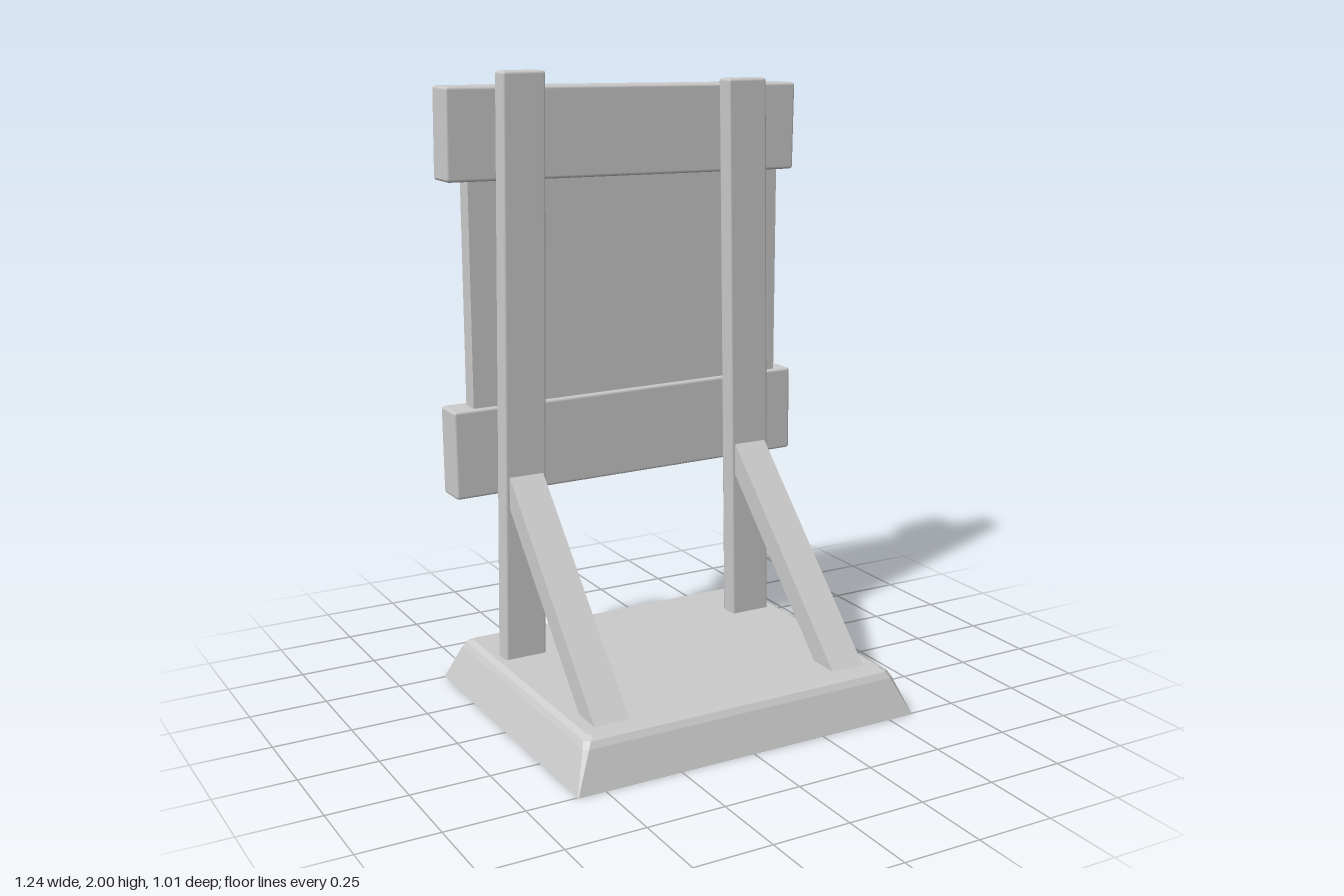
import * as THREE from 'three';
import { RoundedBoxGeometry } from 'three/addons/geometries/RoundedBoxGeometry.js';

const grey = new THREE.MeshStandardMaterial({ color: 0xcccccc });
const facetted = new THREE.MeshStandardMaterial({ color: 0xcccccc, flatShading: true });
const shell = new THREE.MeshStandardMaterial({ color: 0xcccccc, flatShading: true, side: THREE.DoubleSide });

function add(parent, name, geometry, material, x, y, z) {
  const mesh = new THREE.Mesh(geometry, material);
  mesh.name = name;
  mesh.position.set(x, y, z);
  parent.add(mesh);
  return mesh;
}

// Lean an upright piece sideways: x shifts in proportion to height
function lean(geometry, slope) {
  geometry.applyMatrix4(new THREE.Matrix4().makeShear(0, 0, slope, 0, 0, 0));
  return geometry;
}

// Hollow tray with sloping sides, chamfered corners and an open underside
function baseGeometry() {
  // half width, half depth, height, corner chamfer
  const rings = [
    [0.59, 0.505, 0, 0.002],
    [0.546, 0.462, 0.118, 0.014],
    [0.536, 0.45, 0.137, 0.016],
    [0.518, 0.432, 0.147, 0.012],
  ];
  const pos = [];
  const index = [];
  for (const [w, d, y, c] of rings) {
    const corners = [
      [w, d - c], [w, c - d], [w - c, -d], [c - w, -d],
      [-w, c - d], [-w, d - c], [c - w, d], [w - c, d],
    ];
    for (const [x, z] of corners) pos.push(x, y, z);
  }
  for (let r = 0; r < rings.length - 1; r++) {
    for (let i = 0; i < 8; i++) {
      const a = r * 8 + i, b = r * 8 + (i + 1) % 8;
      index.push(a, b, b + 8, a, b + 8, a + 8);
    }
  }
  const top = (rings.length - 1) * 8;
  for (let i = 1; i < 7; i++) index.push(top, top + i, top + i + 1);
  const g = new THREE.BufferGeometry();
  g.setAttribute('position', new THREE.Float32BufferAttribute(pos, 3));
  g.setIndex(index);
  g.computeVertexNormals();
  return g;
}

// Ten-sided tapered bolt with a shallow pointed cap, pointing backwards
function boltGeometry() {
  const profile = [[0, 0], [0.13, 0], [0.111, 0.096], [0, 0.112]].map(([r, y]) => new THREE.Vector2(r, y));
  return new THREE.LatheGeometry(profile, 10).rotateX(-Math.PI / 2);
}

export function createModel() {
  const model = new THREE.Group();
  model.name = 'signboard';

  add(model, 'base', baseGeometry(), shell, 0, 0, 0);

  // Uprights and their diagonal braces; feet pass through the base
  for (const side of [-1, 1]) {
    const word = side < 0 ? 'right' : 'left';
    const topY = side < 0 ? 2.0 : 1.96;
    const height = topY - 0.1;
    const post = lean(new RoundedBoxGeometry(0.143, height, 0.065, 1, 0.01), -side * 0.018);
    add(model, word + 'Post', post, grey, side * 0.408, 0.1 + height / 2, -0.2325);

    const brace = lean(new THREE.BoxGeometry(0.115, 0.844, 0.074), -side * 0.008);
    add(model, word + 'Brace', brace, grey, side * 0.416, 0.423, 0.069).rotation.x = -0.77;
  }

  // Thin board held between two slightly crooked planks
  add(model, 'panel', new THREE.BoxGeometry(1.105, 1.1, 0.06), grey, 0.002, 1.32, -0.31);
  const planks = [['upper', 1.805, -0.014, 1.8], ['lower', 0.828, 0.008, 0.845]];
  for (const [word, y, tilt, boltY] of planks) {
    const plank = new RoundedBoxGeometry(1.236, 0.284, 0.11, 1, 0.01);
    add(model, word + 'Plank', plank, grey, -0.004, y, -0.32).rotation.z = tilt;
    for (const side of [-1, 1]) {
      add(model, word + 'Bolt', boltGeometry(), facetted, side * 0.402, boltY, -0.393);
    }
  }
  return model;
}
